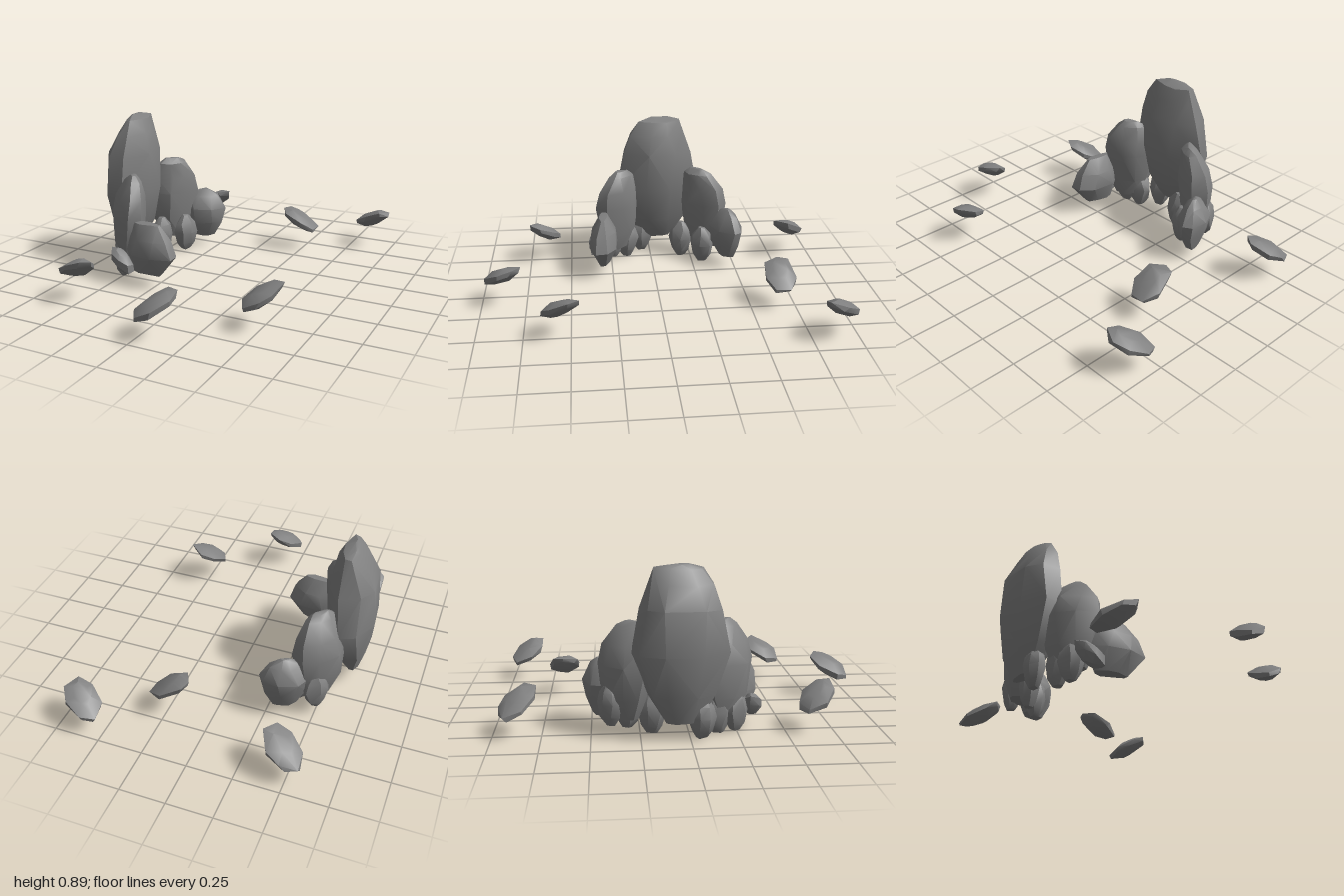
import * as THREE from 'three';
import { ConvexGeometry } from 'three/addons/geometries/ConvexGeometry.js';
import { toCreasedNormals } from 'three/addons/utils/BufferGeometryUtils.js';

const material = new THREE.MeshStandardMaterial({ color: 0x808080 });

// Small seeded generator for the rough edges
function seeded(seed) {
  let s = seed * 7919 + 17;
  return () => (s = (s * 16807) % 2147483647) / 2147483647;
}

// Convex stone from rings [y, halfLength, halfThickness, shiftX, shiftZ];
// turned by yaw, then sheared by the slopes so stones can lean
function stone(name, rings, [x, y, z], yaw, seed, slope = [0, 0], sides = 8) {
  const rand = seeded(seed);
  rand();
  const points = [];
  const turn = THREE.MathUtils.degToRad(yaw);
  const up = new THREE.Vector3(0, 1, 0);
  const fit = 1 / Math.cos(Math.PI / sides);
  for (const [h, rx, rz, sx = 0, sz = 0] of rings) {
    for (let i = 0; i < sides; i++) {
      const a = ((i + 0.5 + (rand() - 0.5) * 0.4) / sides) * Math.PI * 2;
      const r = fit * (1 - 0.1 * rand());
      const p = new THREE.Vector3(Math.cos(a) * rx * r, h + (rand() - 0.5) * 0.012, Math.sin(a) * rz * r);
      p.applyAxisAngle(up, turn);
      p.x += sx;
      p.z += sz;
      p.y += slope[0] * p.x + slope[1] * p.z;
      points.push(p);
    }
  }
  const geometry = toCreasedNormals(new ConvexGeometry(points), THREE.MathUtils.degToRad(34));
  const mesh = new THREE.Mesh(geometry, material);
  mesh.name = name;
  mesh.position.set(x, y, z);
  return mesh;
}

export function createModel() {
  const group = new THREE.Group();
  group.name = 'rockFormation';

  // Tall central slab, leaning inwards at the top
  group.add(stone('tallSlab', [
    [0.1, 0.04, 0.08, -0.02],
    [0.24, 0.1, 0.17, -0.005],
    [0.45, 0.135, 0.245, 0.005],
    [0.67, 0.125, 0.21, 0.01],
    [0.79, 0.09, 0.16, 0.025],
    [0.868, 0.045, 0.125, 0.03, -0.02],
    [0.887, 0.012, 0.06, 0.012, -0.02],
  ], [-0.595, 0, -0.04], 4, 3));

  // Medium slabs either side of it, their tops leaning to the middle
  const mediumRings = (lean) => [
    [0.09, 0.08, 0.05],
    [0.2, 0.125, 0.08],
    [0.37, 0.155, 0.095],
    [0.47, 0.135, 0.08, 0.01, lean * 0.3],
    [0.56, 0.085, 0.045, 0.02, lean],
    [0.588, 0.045, 0.018, 0.02, lean],
  ];
  group.add(stone('frontMediumSlab', mediumRings(-0.025), [-0.48, 0, 0.205], -50, 5));
  group.add(stone('backMediumSlab', mediumRings(0.04), [-0.49, 0, -0.325], 52, 8));

  // Low boulders at the ends of the arc
  group.add(stone('frontLowBoulder', [
    [0.07, 0.09, 0.035, -0.03],
    [0.19, 0.155, 0.085],
    [0.28, 0.13, 0.075, -0.01],
    [0.36, 0.085, 0.025, -0.03],
  ], [-0.275, 0, 0.3], -5, 13));
  group.add(stone('backLowBoulder', [
    [0.07, 0.07, 0.035],
    [0.16, 0.115, 0.075],
    [0.25, 0.135, 0.085],
    [0.33, 0.085, 0.05],
    [0.365, 0.03, 0.015],
  ], [-0.34, 0, -0.45], 25, 21));

  // Small egg-shaped footing stones
  const footRings = [
    [0.01, 0.028, 0.022],
    [0.05, 0.055, 0.042],
    [0.12, 0.072, 0.055],
    [0.18, 0.058, 0.044],
    [0.228, 0.02, 0.016],
  ];
  const feet = [
    [-0.5, 0, 0.24, -60], [-0.52, 0, 0.15, -75], [-0.605, 0, 0.055, 85],
    [-0.5, 0, -0.19, 75], [-0.4, 0, -0.31, 60], [-0.5, 0.05, -0.4, 50],
  ];
  feet.forEach(([x, y, z, yaw], i) =>
    group.add(stone('footingStone' + (i + 1), footRings, [x, y, z], yaw, 31 + i, [0, 0], 7)));

  // Stone leaning against the front boulder
  group.add(stone('leaningStone', [
    [-0.05, 0.03, 0.02],
    [-0.02, 0.07, 0.05],
    [0.02, 0.075, 0.05],
    [0.05, 0.035, 0.025],
  ], [-0.45, 0.13, 0.335], -15, 41, [-0.5, 0], 7));

  // Flat tilted stones hovering around the arc: x, y, z, yaw, slope x, slope z
  const flatRings = [
    [-0.038, 0.045, 0.035],
    [-0.012, 0.105, 0.08],
    [0.015, 0.11, 0.085],
    [0.042, 0.055, 0.04],
  ];
  const floats = [
    [-0.47, 0.175, -0.87, -30, 0.38, 0.32],
    [0.62, 0.175, -0.905, -30, 0.38, 0.32],
    [0.228, 0.18, -0.66, 0, -0.5, 0.05],
    [-0.52, 0.185, 0.66, -30, 0.35, 0.35],
    [0.09, 0.18, 0.885, 55, 0.4, -0.32],
    [0.5, 0.18, 0.558, 55, 0.4, -0.32],
  ];
  floats.forEach(([x, y, z, yaw, a, b], i) =>
    group.add(stone('floatingStone' + (i + 1), flatRings, [x, y, z], yaw, 51 + i, [a, b], 7)));

  return group;
}
